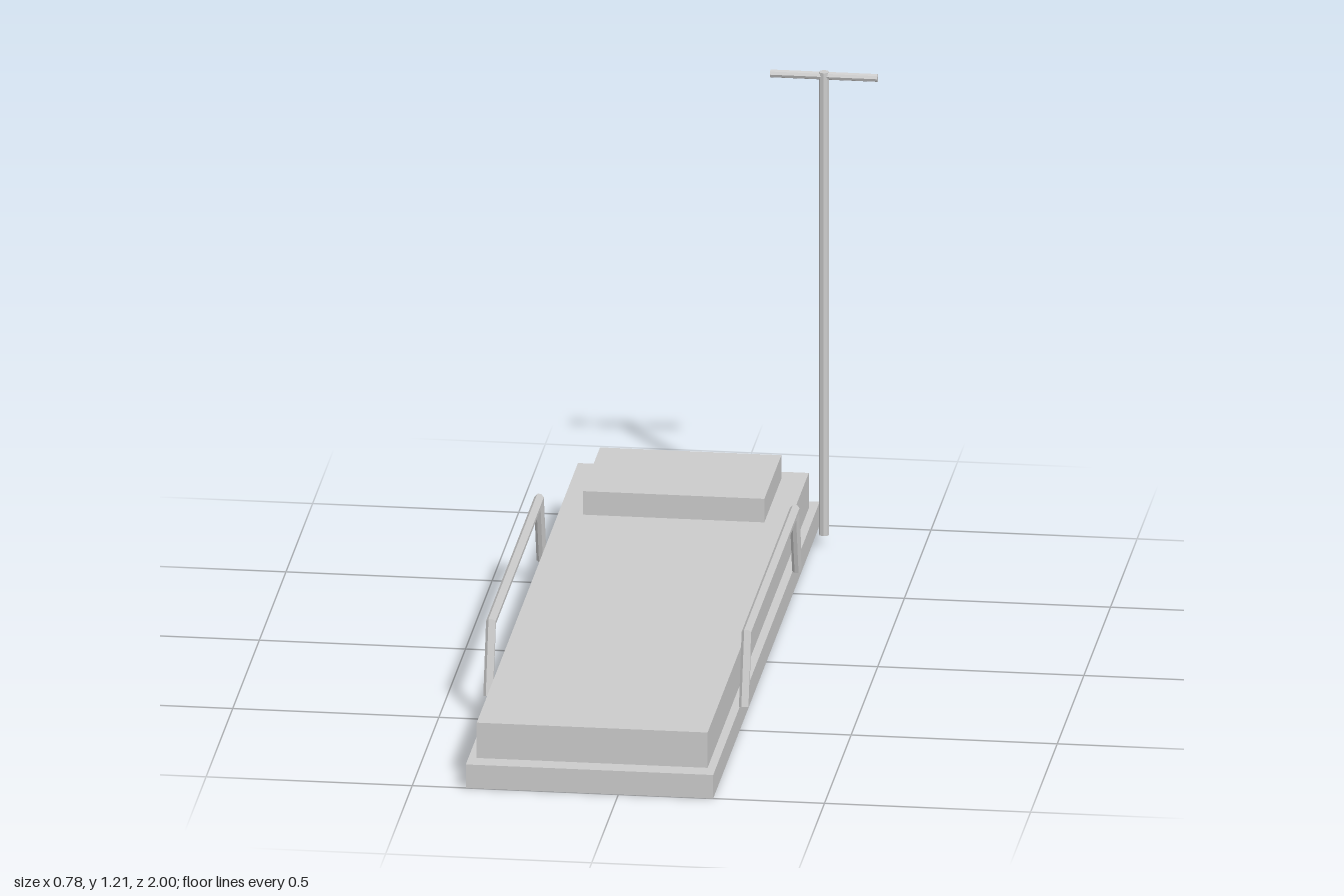
import * as THREE from 'three';

const grey = new THREE.MeshStandardMaterial({ color: 0xcccccc, flatShading: true });
grey.name = 'light grey';

const SIDES = 8;

function addMesh(group, name, geometry, x, y, z) {
  const mesh = new THREE.Mesh(geometry, grey);
  mesh.name = name;
  mesh.position.set(x, y, z);
  group.add(mesh);
  return mesh;
}

// Round bar swept along a bent path in the y-z plane, with mitred corners and flat ends
function bentBar(path, radius) {
  const positions = [], index = [];
  const points = path.map(([z, y]) => new THREE.Vector2(z, y));
  const last = points.length - 1;
  points.forEach((p, i) => {
    const before = p.clone().sub(points[Math.max(i - 1, 0)]).normalize();
    const after = points[Math.min(i + 1, last)].clone().sub(p).normalize();
    const along = before.clone().add(after).normalize();
    const stretch = 1 / along.dot(i < last ? after : before);
    for (let s = 0; s < SIDES; s++) {
      const a = ((s + 0.5) / SIDES) * Math.PI * 2;
      const n = Math.sin(a) * radius * stretch;
      positions.push(Math.cos(a) * radius, p.y + along.x * n, p.x - along.y * n);
    }
  });
  for (let i = 0; i < last; i++) {
    for (let s = 0; s < SIDES; s++) {
      const a = i * SIDES + s, b = i * SIDES + (s + 1) % SIDES;
      index.push(a, b, a + SIDES, b, b + SIDES, a + SIDES);
    }
  }
  for (let s = 1; s < SIDES - 1; s++) {
    index.push(0, s + 1, s);
    index.push(last * SIDES, last * SIDES + s, last * SIDES + s + 1);
  }
  const geometry = new THREE.BufferGeometry();
  geometry.setAttribute('position', new THREE.Float32BufferAttribute(positions, 3));
  geometry.setIndex(index);
  const flat = geometry.toNonIndexed();
  flat.computeVertexNormals();
  return flat;
}

export function createModel() {
  const model = new THREE.Group();
  model.name = 'stretcher';

  // Stacked bed: base, mattress, pillow
  addMesh(model, 'base', new THREE.BoxGeometry(0.6, 0.06, 2), -0.07, 0.03, 0);
  addMesh(model, 'mattress', new THREE.BoxGeometry(0.56, 0.09, 1.9), -0.07, 0.105, 0);
  addMesh(model, 'pillow', new THREE.BoxGeometry(0.44, 0.06, 0.32), -0.07, 0.18, -0.74);

  // Side rails with splayed legs
  const railPath = [[-0.5, 0.06], [-0.45, 0.23], [0.45, 0.23], [0.5, 0.06]];
  for (const [name, x] of [['rightRail', -0.38], ['leftRail', 0.24]]) {
    addMesh(model, name, bentBar(railPath, 0.0125), x, 0, 0);
  }

  // Drip pole and its crossbar
  addMesh(model, 'pole', new THREE.CylinderGeometry(0.0125, 0.0125, 1.18, SIDES), 0.26, 0.62, -0.85);
  const crossbar = addMesh(model, 'crossbar',
    new THREE.CylinderGeometry(0.01, 0.01, 0.26, SIDES), 0.26, 1.2, -0.85);
  crossbar.rotation.z = Math.PI / 2;

  return model;
}
